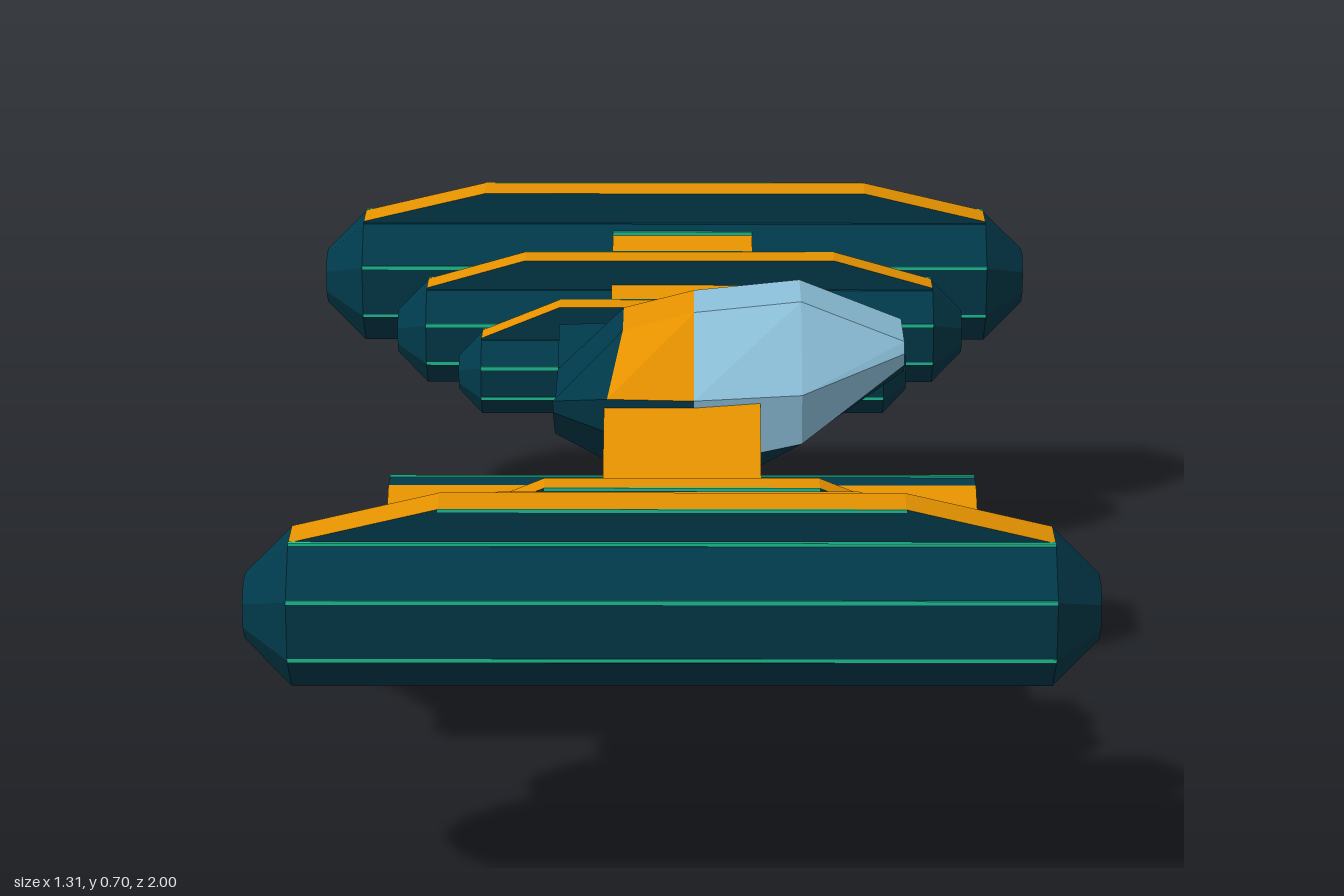
import * as THREE from 'three';

const mat = (name, color) => {
  const m = new THREE.MeshStandardMaterial({ color });
  m.name = name;
  return m;
};

// Skins cross-sections ([x, [[z, y, xOffset], ...]] counter-clockwise) with flat faces.
// pick(segment, edge) gives the material index; caps = [back, front] indices.
function loft(rings, pick, caps) {
  const buckets = [[], [], []];
  const v = (r, i) => {
    const [x, pts] = rings[r];
    const [z, y, dx = 0] = pts[i % pts.length];
    return [x + dx, y, z];
  };
  const n = rings[0][1].length;
  for (let s = 0; s < rings.length - 1; s++) {
    for (let i = 0; i < n; i++) {
      const a = v(s, i), b = v(s, i + 1), c = v(s + 1, i + 1), d = v(s + 1, i);
      buckets[pick(s, i)].push(...a, ...c, ...b, ...a, ...d, ...c);
    }
  }
  [0, rings.length - 1].forEach((r, k) => {
    const contour = rings[r][1].map(([z, y]) => new THREE.Vector2(z, y));
    for (const [a, b, c] of THREE.ShapeUtils.triangulateShape(contour, [])) {
      const order = k === 0 ? [a, b, c] : [a, c, b];
      for (const i of order) buckets[caps[k]].push(...v(r, i));
    }
  });
  const geo = new THREE.BufferGeometry();
  geo.setAttribute('position', new THREE.Float32BufferAttribute(buckets.flat(), 3));
  let start = 0;
  buckets.forEach((b, i) => {
    if (b.length) geo.addGroup(start, b.length / 3, i);
    start += b.length / 3;
  });
  geo.computeVertexNormals();
  return geo;
}

const prism = (pts, x0, x1, pick, cap) => loft([[x0, pts], [x1, pts]], pick, [cap, cap]);

function flat(geo) {
  const g = geo.toNonIndexed();
  g.computeVertexNormals();
  return g;
}

export function createModel() {
  const model = new THREE.Group();
  model.name = 'hoverShip';
  const teal = mat('dark teal', 0x003a4b);
  const orange = mat('orange', 0xe69200);
  const glass = mat('pale blue glass', 0x8cc0da);
  const green = mat('bright green trim', 0x1fc99a);
  const mats = [teal, orange, glass];
  const T = 0, O = 1, G = 2;

  const add = (name, geo, material, parent = model) => {
    const mesh = new THREE.Mesh(geo, material);
    mesh.name = name;
    parent.add(mesh);
    return mesh;
  };

  // Lower hull: a trough with a raised nacelle along each side
  const half = [[0.07, 0.035], [0.24, 0.15], [0.31, 0.15], [0.36, 0.185], [0.345, 0.248],
    [0.295, 0.25], [0.235, 0.215], [0.205, 0.21], [0.155, 0.107]];
  const halfEdges = [T, T, T, O, T, O, O, T];
  const mirrored = half.map(([z, y]) => [-z, y]).reverse();
  const hullEdges = [...halfEdges, O, ...[...halfEdges].reverse(), O];
  add('hull', prism([...half, ...mirrored], -0.51, 0.54, (s, i) => hullEdges[i], T), mats);
  add('keel', prism([[0.035, 0], [0.07, 0.035], [-0.07, 0.035], [-0.035, 0]], -0.51, 0.54,
    () => O, O), mats);

  // Cabin cross-sections: top, side and bottom corners; topDx shifts the roof corners
  const ring = (x, tz, ty, sz, su, sl, bz, by, topDx = 0) => [x, [[bz, by], [sz, sl], [sz, su],
    [tz, ty, topDx], [-tz, ty, topDx], [-sz, su], [-sz, sl], [-bz, by]]];
  const cabinRings = [
    ring(-0.2, 0.1, 0.53, 0.215, 0.575, 0.555, 0.1, 0.48),
    ring(-0.11, 0.065, 0.652, 0.215, 0.578, 0.52, 0.1, 0.43, 0.025),
    ring(0.035, 0.065, 0.683, 0.215, 0.575, 0.46, 0.1, 0.36),
    ring(0.215, 0.065, 0.702, 0.2, 0.58, 0.495, 0.09, 0.46),
    ring(0.39, 0.065, 0.632, 0.08, 0.615, 0.595, 0.065, 0.58),
  ];
  const cabinPick = (s, i) => {
    if (s >= 2) return i >= 1 && i <= 5 ? G : T;
    return s === 1 && i >= 2 && i <= 4 ? O : T;
  };
  add('cabin', loft(cabinRings, cabinPick, [T, O]), mats);
  const chin = add('chinPlate', new THREE.BoxGeometry(0.08, 0.03, 0.21), orange);
  chin.position.set(0.085, 0.403, 0);

  // Arm: cabin to elbow, down to the hull and out to the pods
  const armProfile = [[0.15, 0.535], [0.355, 0.418], [0.405, 0.262], [0.36, 0.247], [0.34, 0.22],
    [0.425, 0.19], [0.47, 0.267], [0.425, 0.42], [0.5, 0.455], [0.86, 0.545], [0.86, 0.57],
    [0.395, 0.46], [0.15, 0.6]];

  // Pods: z, y, radius, back end, front end, bevel, fin half width, fin top
  const pods = [
    ['outer', 0.887, 0.465, 0.113, -0.655, 0.655, 0.072, 0.039, 0.635],
    ['middle', 0.672, 0.422, 0.088, -0.51, 0.53, 0.055, 0.03, 0.565],
    ['inner', 0.495, 0.398, 0.069, -0.39, 0.42, 0.042, 0.025, 0.528],
  ];

  for (const side of [1, -1]) {
    const group = new THREE.Group();
    group.name = side > 0 ? 'frontWing' : 'backWing';
    model.add(group);

    // Thin bar running along x
    const bar = (name, material, x0, x1, y, z, h = 0.007, d = 0.007) => {
      const mesh = add(name, new THREE.BoxGeometry(x1 - x0, h, d), material, group);
      mesh.position.set((x0 + x1) / 2, y, side * z);
    };

    const pts = side > 0 ? armProfile : armProfile.map(([z, y]) => [-z, y]).reverse();
    add('arm', prism(pts, -0.115, 0.145, () => O, O), mats, group);

    for (const [name, z, y, r, x0, x1, bevel, finW, finTop] of pods) {
      // Eight-sided pod with bevelled ends
      const R = r / Math.cos(Math.PI / 8);
      const profile = [[0, x0], [R * 0.41, x0], [R, x0 + bevel], [R, x1 - bevel],
        [R * 0.41, x1], [0, x1]].map(([a, b]) => new THREE.Vector2(a, b));
      const podGeo = flat(new THREE.LatheGeometry(profile, 8, Math.PI / 8).rotateZ(-Math.PI / 2));
      add(name + 'Pod', podGeo, teal, group).position.set(0, y, side * z);

      // Fin with teal sides and orange top
      const a = x0 + bevel, b = x1 - bevel, slope = (b - a) * 0.195, base = y + r;
      const shape = new THREE.Shape([[a, base - 0.02], [b, base - 0.02], [b, base + 0.003],
        [b - slope, finTop], [a + slope, finTop], [a, base + 0.003]]
        .map(([px, py]) => new THREE.Vector2(px, py)));
      const finGeo = new THREE.ExtrudeGeometry(shape, { depth: finW * 2, bevelEnabled: false });
      add(name + 'Fin', finGeo, [teal, orange], group).position.z = side * z - finW;

      // Green trim along the fin foot, fin crest and pod edges
      bar('finTrim', green, a, b, base + 0.001, z + finW + 0.003, 0.008, 0.008);
      bar('crestTrim', green, a + slope, b - slope, finTop - 0.002, z + finW, 0.005, 0.003);
      for (const e of [-1, 1]) {
        for (const f of [-1, 1]) {
          bar('podTrim', green, a, b, y + e * r * 0.414, z + f * (r - 0.002), 0.006, 0.006);
        }
      }
    }

    // Link between the two smaller pods
    bar('podLink', teal, -0.115, 0.145, 0.398, 0.58, 0.028, 0.16);

    // Elbow collar and green trims across the arm
    bar('elbowCollar', teal, -0.115, 0.145, 0.464, 0.41, 0.009, 0.03);
    for (const z of [0.395, 0.413]) bar('elbowTrim', green, -0.115, 0.145, 0.467, z, 0.009, 0.008);
    bar('armTrim', green, -0.115, 0.145, 0.278, 0.467, 0.015, 0.006);
    bar('armTrim', green, -0.115, 0.145, 0.532, 0.706, 0.007, 0.006);
    bar('armTrim', green, -0.115, 0.145, 0.564, 0.827, 0.007, 0.008);

    // Green trims along the hull edges and across the nacelles
    for (const [y, z] of [[0.149, 0.312], [0.248, 0.345], [0.038, 0.072]]) {
      bar('hullTrim', green, -0.51, 0.54, y, z, 0.006, 0.006);
    }
    for (const x of [-0.25, 0.275]) bar('nacelleTrim', green, x - 0.003, x + 0.003, 0.217, 0.349, 0.055, 0.012);

    // Orange inlays showing at both nacelle ends
    for (const [z, y, r] of [[0.305, 0.198, 0.034], [0.228, 0.18, 0.014]]) {
      const core = flat(new THREE.CylinderGeometry(r, r, 1.054, 6).rotateZ(Math.PI / 2));
      add('engineCore', core, orange, group).position.set(0.015, y, side * z);
    }
  }
  return model;
}
